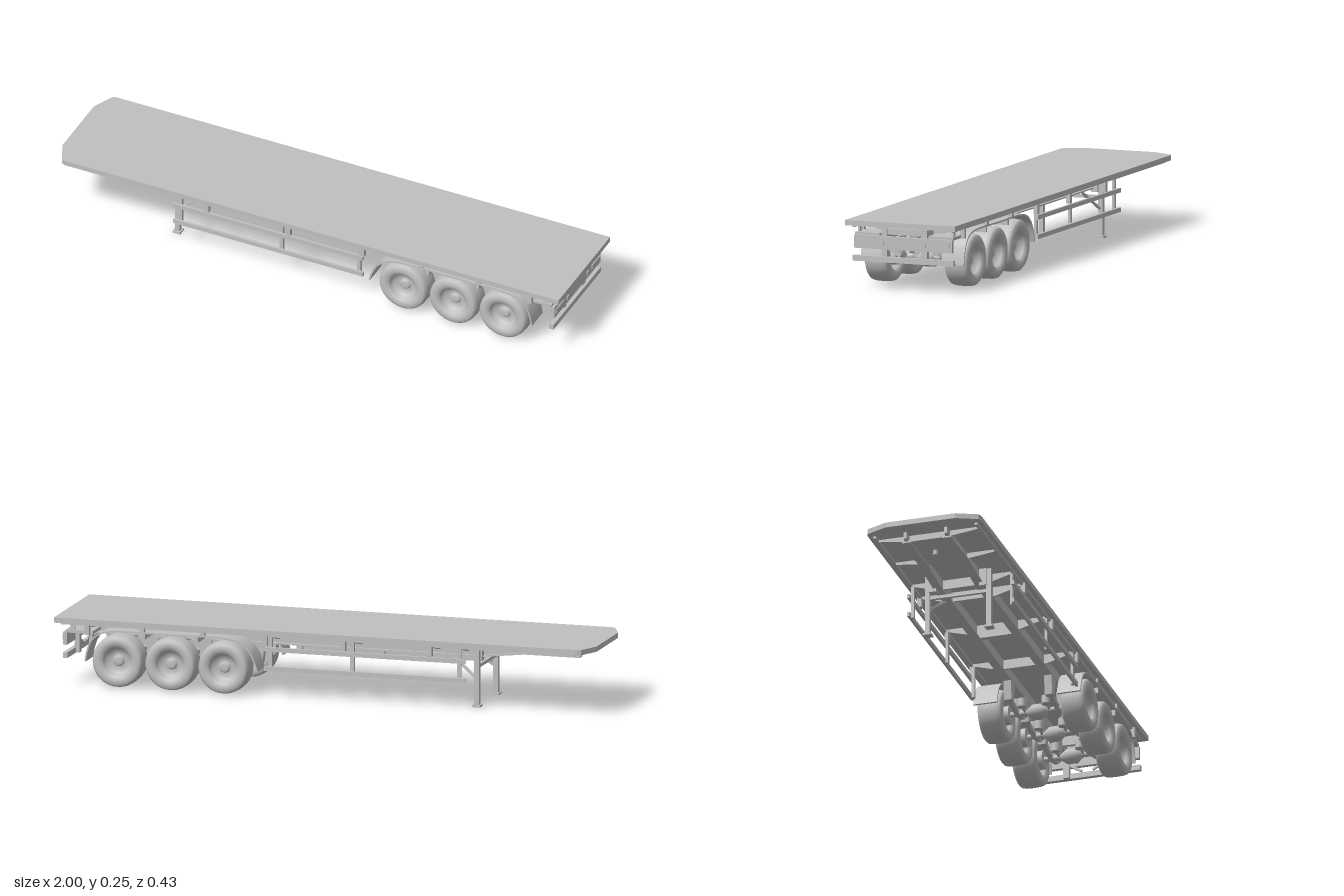
import * as THREE from 'three';
import { toCreasedNormals } from 'three/addons/utils/BufferGeometryUtils.js';

export function createModel() {
  const model = new THREE.Group();
  model.name = 'flatbedTrailer';
  const grey = new THREE.MeshStandardMaterial({ color: 0xc0c0c0 });
  grey.name = 'grey';

  const add = (name, geo) => {
    const mesh = new THREE.Mesh(geo, grey);
    mesh.name = name;
    model.add(mesh);
    return mesh;
  };
  // Box given by its limits on each axis
  const box = (name, x0, x1, y0, y1, z0, z1) =>
    add(name, new THREE.BoxGeometry(x1 - x0, y1 - y0, Math.abs(z1 - z0))
      .translate((x0 + x1) / 2, (y0 + y1) / 2, (z0 + z1) / 2));
  // Square bar between two points
  const bar = (name, a, b, w, h = w) => {
    const p = new THREE.Vector3(...a), q = new THREE.Vector3(...b);
    const mesh = add(name, new THREE.BoxGeometry(w, h, p.distanceTo(q)));
    mesh.position.copy(p).lerp(q, 0.5);
    mesh.lookAt(q);
    return mesh;
  };
  // Outline in x and y, extruded along z from z0 to z1
  const plate = (name, pts, z0, z1) => {
    const shape = new THREE.Shape(pts.map(p => new THREE.Vector2(...p)));
    const geo = new THREE.ExtrudeGeometry(shape, { depth: z1 - z0, bevelEnabled: false });
    return add(name, toCreasedNormals(geo.translate(0, 0, z0), 0.6));
  };
  const cylinder = (name, r0, r1, h, x, y, z, alongZ) => {
    const geo = new THREE.CylinderGeometry(r0, r1, h, 24);
    if (alongZ) geo.rotateX(Math.PI / 2);
    return add(name, geo.translate(x, y, z));
  };

  // Deck with clipped front corners
  const deckShape = new THREE.Shape([[-1, -0.13], [-0.965, -0.208], [-0.95, -0.213], [1, -0.213],
    [1, 0.213], [-0.95, 0.213], [-0.965, 0.208], [-1, 0.13]].map(p => new THREE.Vector2(...p)));
  add('deck', new THREE.ExtrudeGeometry(deckShape, { depth: 0.019, bevelEnabled: false })
    .rotateX(-Math.PI / 2).translate(0, 0.23, 0));

  const axleX = [0.375, 0.573, 0.77];
  const axleY = 0.098;

  // Tyre and dished rim turned as one profile (radius, width position)
  const wheelProfile = [[0.001, -0.012], [0.03, -0.012], [0.045, -0.02], [0.05, -0.036],
    [0.056, -0.043], [0.07, -0.046], [0.084, -0.044], [0.091, -0.038], [0.094, -0.025],
    [0.095, 0], [0.094, 0.025], [0.091, 0.038], [0.084, 0.044], [0.07, 0.046], [0.056, 0.042],
    [0.05, 0.034], [0.045, 0.018], [0.022, 0.01], [0.018, 0.02], [0.014, 0.023], [0.001, 0.023]]
    .map(p => new THREE.Vector2(...p));
  const wheelGeo = new THREE.LatheGeometry(wheelProfile, 48).rotateX(Math.PI / 2);

  // Mudguard band, thickened along its inward normal
  const guardCurve = new THREE.CatmullRomCurve3([[0.243, 0.095], [0.256, 0.135], [0.28, 0.175],
    [0.32, 0.201], [0.38, 0.211], [0.573, 0.211], [0.77, 0.211], [0.83, 0.201], [0.865, 0.175],
    [0.882, 0.135], [0.89, 0.095]].map(p => new THREE.Vector3(p[0], p[1], 0)));
  const outer = [], inner = [];
  for (let i = 0; i <= 48; i++) {
    const p = guardCurve.getPointAt(i / 48), t = guardCurve.getTangentAt(i / 48);
    outer.push([p.x, p.y]);
    inner.unshift([p.x + t.y * 0.006, p.y - t.x * 0.006]);
  }

  for (const s of [1, -1]) {
    const span = (a, b) => s > 0 ? [a, b] : [-b, -a];

    // Main chassis beam: web and flanges
    plate('chassisBeam', [[-0.94, 0.231], [-0.94, 0.206], [-0.925, 0.2], [-0.72, 0.2], [-0.55, 0.181],
      [0.96, 0.181], [0.96, 0.231]], ...span(0.071, 0.081));
    plate('chassisLowerFlange', [[-0.925, 0.2], [-0.72, 0.2], [-0.55, 0.181], [0.96, 0.181],
      [0.96, 0.176], [-0.55, 0.176], [-0.72, 0.195], [-0.925, 0.195]], ...span(0.06, 0.092));

    // Deck edge rail
    box('sideRail', -0.94, 0.98, 0.222, 0.231, s * 0.185, s * 0.195);

    // Side guard with posts and tapered outriggers
    for (const y of [0.178, 0.108])
      box('sideGuardRail', -0.53, 0.22, y - 0.008, y + 0.008, s * 0.19, s * 0.2);
    for (const x of [-0.505, -0.106, 0.2])
      box('sideGuardPost', x - 0.007, x + 0.007, 0.1, 0.231, s * 0.18, s * 0.19);

    // Stake pockets on the deck edge
    for (const x of [-0.398, -0.075, 0.217, 0.45, 0.675, 0.88])
      box('stakePocket', x - 0.009, x + 0.009, x > 0.3 && x < 0.8 ? 0.213 : 0.19, 0.231, s * 0.186, s * 0.202);

    // Landing leg with foot and braces
    box('landingLeg', -0.559, -0.541, 0.008, 0.231, s * 0.106, s * 0.124);
    box('landingFoot', -0.565, -0.535, 0, 0.008, s * 0.1, s * 0.13);
    box('landingLegMount', -0.565, -0.535, 0.165, 0.231, s * 0.08, s * 0.108);
    bar('landingLegBrace', [-0.55, 0.1, s * 0.115], [-0.44, 0.182, s * 0.08], 0.008);

    // Wheels, hubs and suspension
    for (const x of axleX) {
      const wheel = add('wheel', wheelGeo);
      wheel.position.set(x, axleY, s * 0.155);
      if (s < 0) wheel.rotation.y = Math.PI;
      cylinder('brakeDrum', 0.034, 0.034, 0.04, x, axleY, s * 0.122, true);
      plate('suspensionHanger', [[x - 0.125, 0.18], [x - 0.115, 0.105], [x - 0.09, 0.105],
        [x - 0.07, 0.18]], ...span(0.062, 0.09));
      bar('trailingArm', [x - 0.103, 0.118, s * 0.076], [x, axleY, s * 0.076], 0.016);
      bar('trailingArmRear', [x, axleY, s * 0.076], [x + 0.06, 0.112, s * 0.076], 0.016);
      cylinder('airSpring', 0.024, 0.02, 0.066, x + 0.052, 0.147, s * 0.076);
      bar('brakeChamberRod', [x - 0.055, 0.11, s * 0.045], [x, axleY, s * 0.045], 0.008);
      cylinder('brakeChamber', 0.016, 0.016, 0.03, x - 0.05, 0.114, s * 0.045);
    }

    // Mudguard and its brackets
    plate('mudguard', [...outer, ...inner], ...span(0.112, 0.2));
    for (const x of [0.474, 0.672])
      box('mudguardBracket', x - 0.006, x + 0.006, 0.185, 0.207, s * 0.08, s * 0.195);

    // Rear uprights, lamp brackets and underrun braces
    box('rearUpright', 0.942, 0.962, 0.1, 0.231, s * 0.066, s * 0.088);
    box('rearBracket', 0.86, 0.962, 0.192, 0.203, s * 0.095, s * 0.19);
    box('rearHanger', 0.93, 0.945, 0.2, 0.231, s * 0.178, s * 0.186);
    bar('underrunBrace', [0.95, 0.15, s * 0.068], [0.95, 0.122, s * 0.02], 0.008);
    box('rearLamp', 0.972, 0.977, 0.164, 0.181, s * 0.115, s * 0.181);
    box('rearReflector', 0.972, 0.977, 0.162, 0.177, s * 0.076, s * 0.09);
  }

  // Crossmembers with sloping ends
  for (const x of [-0.9, -0.7, -0.505, -0.398, -0.106, 0.2, 0.88]) {
    const low = x < -0.6 ? 0.21 : 0.195;
    const shape = new THREE.Shape([[-0.188, 0.231], [-0.188, 0.222], [-0.09, low], [0.09, low],
      [0.188, 0.222], [0.188, 0.231]].map(p => new THREE.Vector2(...p)));
    add('crossmember', new THREE.ExtrudeGeometry(shape, { depth: 0.01, bevelEnabled: false })
      .rotateY(Math.PI / 2).translate(x - 0.005, 0, 0));
  }
  box('centreCrossmember', -0.115, -0.095, 0.178, 0.225, -0.075, 0.075);

  // Coupling plate and pin
  box('couplingPlate', -0.92, -0.72, 0.2, 0.206, -0.075, 0.075);
  cylinder('couplingPin', 0.009, 0.009, 0.02, -0.82, 0.192, 0);

  // Landing gear cross tie
  box('landingCrossTie', -0.556, -0.544, 0.14, 0.152, -0.115, 0.115);

  // Axles with a rounded centre housing
  for (const x of axleX) {
    cylinder('axle', 0.01, 0.01, 0.25, x, axleY, 0, true);
    const housing = [[0.001, -0.04], [0.012, -0.038], [0.027, -0.018], [0.028, 0.018],
      [0.012, 0.038], [0.001, 0.04]].map(p => new THREE.Vector2(...p));
    add('axleHousing', new THREE.LatheGeometry(housing, 24).rotateX(Math.PI / 2)
      .translate(x, axleY, 0));
  }

  // Rear lamp panel and underrun bar
  box('rearLampPanel', 0.958, 0.973, 0.147, 0.194, -0.19, 0.19);
  box('underrunBar', 0.955, 0.972, 0.1, 0.12, -0.195, 0.195);
  box('rearCrossmember', 0.945, 0.96, 0.2, 0.222, -0.075, 0.075);

  return model;
}
